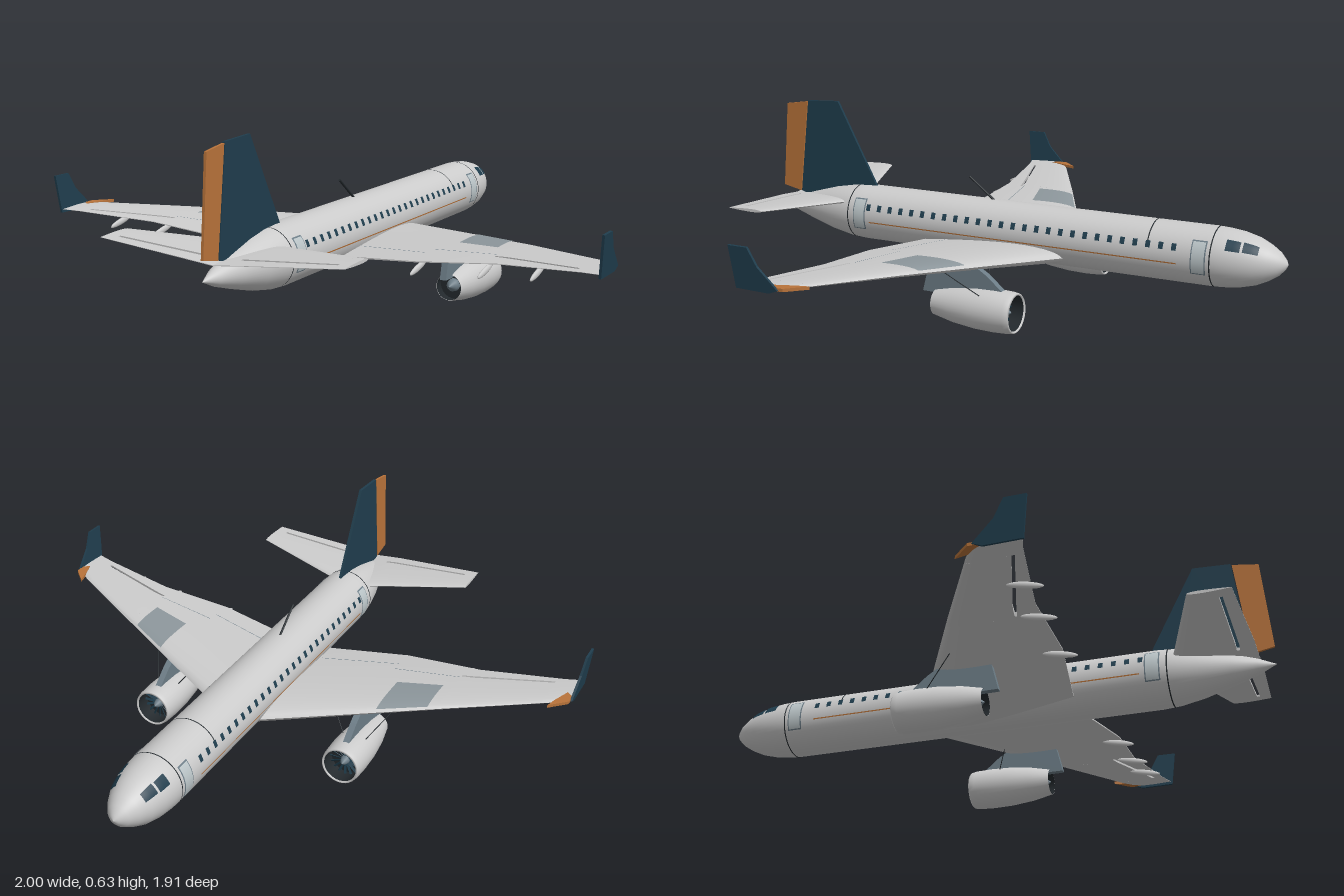
import * as THREE from 'three';
import { toCreasedNormals } from 'three/addons/utils/BufferGeometryUtils.js';

const paint = (color) => new THREE.MeshStandardMaterial({ color, side: THREE.DoubleSide });
const grey = paint(0xcccccc), navy = paint(0x1f3d4d), copper = paint(0xb8733a);
const slate = paint(0x6d7d87), panelGrey = paint(0x8d979c), dark = paint(0x23292d), door = paint(0xbcc6c9);

const AXIS_Y = 0.238;

function add(parent, name, geometry, material) {
  const mesh = new THREE.Mesh(geometry, material);
  mesh.name = name;
  parent.add(mesh);
  return mesh;
}

// Piecewise linear lookup in rows of [key, a, b, ...]
function sample(rows, k) {
  let i = 0;
  while (i < rows.length - 2 && k > rows[i + 1][0]) i++;
  const t = (k - rows[i][0]) / (rows[i + 1][0] - rows[i][0]);
  return rows[i].slice(1).map((v, n) => v + (rows[i + 1][n + 1] - v) * t);
}

// Lathe around the z axis from [z, radius] pairs
function turned(points, segments = 48, start = 0, length = Math.PI * 2) {
  return new THREE.LatheGeometry(points.map(([z, r]) => new THREE.Vector2(r, z)), segments, start, length)
    .rotateX(Math.PI / 2);
}

// Flat plate drawn in (z, y), centred on x = 0
function plate(points, thickness) {
  const shape = new THREE.Shape(points.map(([z, y]) => new THREE.Vector2(z, y)));
  return new THREE.ExtrudeGeometry(shape, { depth: thickness, bevelEnabled: false })
    .translate(0, 0, -thickness / 2).rotateY(-Math.PI / 2);
}

function rod(parent, name, a, b, radius, material) {
  const from = new THREE.Vector3(...a), to = new THREE.Vector3(...b), dir = to.clone().sub(from);
  const mesh = add(parent, name, new THREE.CylinderGeometry(radius, radius, dir.length(), 8), material);
  mesh.position.copy(from).lerp(to, 0.5);
  mesh.quaternion.setFromUnitVectors(new THREE.Vector3(0, 1, 0), dir.normalize());
}

// Fuselage radius along z
const hull = [[-0.957, 0.001], [-0.95, 0.016], [-0.93, 0.038], [-0.9, 0.058], [-0.86, 0.077], [-0.81, 0.09],
  [-0.76, 0.096], [-0.72, 0.098], [0.58, 0.098], [0.64, 0.094], [0.72, 0.079], [0.82, 0.051], [0.9, 0.026], [0.957, 0.001]];
const hullRadius = (z) => sample(hull, z)[0];

// Patch lying on the fuselage side between two z and two y values
function skin(z0, z1, y0, y1, offset) {
  const r = hullRadius((z0 + z1) / 2), angle = (y) => Math.PI / 2 + Math.asin((y - AXIS_Y) / r);
  const points = [];
  for (let i = 0; i <= 4; i++) {
    const z = z0 + (z1 - z0) * i / 4;
    points.push([z, hullRadius(z) + offset]);
  }
  return turned(points, 6, angle(y0), angle(y1) - angle(y0)).translate(0, AXIS_Y, 0);
}

// Lifting surfaces: [x, leading z, trailing z, height, thickness]
const wing = [[0, -0.26, 0.3, 0.178, 0.07], [0.1, -0.21, 0.31, 0.187, 0.062], [0.37, -0.07, 0.353, 0.212, 0.042],
  [0.64, 0.075, 0.347, 0.235, 0.026], [0.92, 0.23, 0.397, 0.254, 0.013], [0.985, 0.275, 0.415, 0.258, 0.008]];
const tailplane = [[0, 0.61, 0.905, 0.275, 0.024], [0.09, 0.645, 0.905, 0.284, 0.022], [0.42, 0.752, 0.888, 0.31, 0.01]];

function foilPoint(spec, x, f, side) {
  const [le, te, y, t] = sample(spec, x);
  const half = 5 * t * (0.2969 * Math.sqrt(f) - 0.126 * f - 0.3516 * f ** 2 + 0.2843 * f ** 3 - 0.095 * f ** 4);
  return [x, y + side * half, le + (te - le) * f];
}

// Loft of foil sections at the given x, keeping the chord between f0 and f1
function foil(spec, xs, f0, f1) {
  const N = 12, pos = [];
  const rings = xs.map((x, k) => {
    const a = f0[k] ?? f0[0], b = f1[k] ?? f1[0], ring = [];
    for (let i = 0; i <= N; i++) ring.push(foilPoint(spec, x, a + (b - a) * (i / N) ** 1.6, 1));
    for (let i = N; i >= 0; i--) ring.push(foilPoint(spec, x, a + (b - a) * (i / N) ** 1.6, -1));
    return ring;
  });
  const M = 2 * N + 2, last = rings.length - 1;
  for (let k = 0; k < last; k++) for (let i = 0; i < M; i++) {
    const j = (i + 1) % M, p = rings[k], q = rings[k + 1];
    pos.push(...p[i], ...p[j], ...q[i], ...p[j], ...q[j], ...q[i]);
  }
  for (let i = 0; i < N; i++) {
    const j = M - 1 - i, s = rings[0], e = rings[last];
    pos.push(...s[i], ...s[j], ...s[i + 1], ...s[i + 1], ...s[j], ...s[j - 1]);
    pos.push(...e[i], ...e[i + 1], ...e[j], ...e[i + 1], ...e[j - 1], ...e[j]);
  }
  const g = new THREE.BufferGeometry();
  g.setAttribute('position', new THREE.Float32BufferAttribute(pos, 3));
  return toCreasedNormals(g, 0.6);
}

// Thin patch on the upper surface of a foil
function foilPatch(spec, x0, x1, f0, f1) {
  const g = new THREE.PlaneGeometry(1, 1, 6, 10), p = g.attributes.position;
  for (let i = 0; i < p.count; i++) {
    const [x, y, z] = foilPoint(spec, x0 + (x1 - x0) * (p.getX(i) + 0.5), f0 + (f1 - f0) * (0.5 - p.getY(i)), 1);
    p.setXYZ(i, x, y + 0.002, z);
  }
  g.computeVertexNormals();
  return g;
}

function buildEngine(parent) {
  const engine = new THREE.Group();
  engine.name = 'engine';
  engine.position.set(0.365, 0.072, 0);
  parent.add(engine);
  add(engine, 'nacelle', turned([[-0.186, 0.058], [-0.192, 0.061], [-0.188, 0.065], [-0.17, 0.068], [-0.12, 0.07],
    [-0.05, 0.068], [0.03, 0.059], [0.1, 0.044]], 32), grey);
  add(engine, 'duct', turned([[0.1, 0.043], [0.03, 0.052], [-0.12, 0.06], [-0.186, 0.058]], 32), dark);
  add(engine, 'fanDisc', new THREE.CircleGeometry(0.058, 32).translate(0, 0, -0.13), dark);
  for (let i = 0; i < 16; i++) {
    const blade = new THREE.BoxGeometry(0.008, 0.042, 0.002).rotateY(0.6).translate(0, 0.036, -0.142);
    add(engine, 'fanBlade', blade.rotateZ(i * Math.PI / 8), navy);
  }
  add(engine, 'spinner', turned([[-0.172, 0.001], [-0.16, 0.011], [-0.135, 0.018]], 24), slate);
  add(engine, 'exhaustDisc', new THREE.CircleGeometry(0.047, 32).translate(0, 0, 0.06), dark);
  add(engine, 'exhaustCone', turned([[0.06, 0.022], [0.075, 0.019], [0.098, 0.001]], 24), slate);
}

// Everything that repeats on both sides, built for +x
function buildSide() {
  const side = new THREE.Group();
  // wing with a slot ahead of the aileron
  add(side, 'innerWing', foil(wing, [0, 0.1, 0.37, 0.6], [0], [1]), grey);
  add(side, 'outerWing', foil(wing, [0.6, 0.64, 0.9], [0], [0.74, 0.745, 0.79]), grey);
  add(side, 'aileron', foil(wing, [0.6, 0.64, 0.9], [0.765, 0.785, 0.845], [1]), grey);
  add(side, 'wingTip', foil(wing, [0.9, 0.92, 0.985], [0], [1]), grey);
  add(side, 'wingPanel', foilPatch(wing, 0.42, 0.57, 0.02, 0.46), panelGrey);
  add(side, 'flapLine', foilPatch(wing, 0.1, 0.37, 0.8, 0.805), slate);
  add(side, 'flapLine', foilPatch(wing, 0.37, 0.6, 0.7, 0.706), slate);
  // winglet and coloured leading corner
  const winglet = add(side, 'winglet', plate([[0.27, 0], [0.335, 0.065], [0.365, 0.122], [0.432, 0.122], [0.418, -0.01], [0.3, -0.012]], 0.008), navy);
  winglet.position.set(0.983, 0.256, 0);
  winglet.rotation.z = -0.09;
  const corner = new THREE.Shape([[0.925, 0.2], [0.98, 0.255], [0.982, 0.29], [0.96, 0.31], [0.935, 0.24]].map((p) => new THREE.Vector2(...p)));
  add(side, 'wingCorner', new THREE.ExtrudeGeometry(corner, { depth: 0.01, bevelEnabled: false }).rotateX(Math.PI / 2), copper)
    .position.y = 0.263;
  // flap track fairings
  for (const [x, y, z] of [[0.375, 0.193, 0.345], [0.6, 0.21, 0.345], [0.77, 0.225, 0.355]]) {
    const fairing = add(side, 'flapFairing', new THREE.SphereGeometry(1, 16, 10), grey);
    fairing.scale.set(0.007, 0.011, 0.058);
    fairing.position.set(x, y, z);
    fairing.rotation.x = 0.2;
  }
  // engine, pylon and braces
  buildEngine(side);
  add(side, 'pylon', plate([[-0.15, 0.135], [-0.09, 0.185], [-0.05, 0.21], [0.12, 0.205], [0.145, 0.106], [0.05, 0.105], [-0.1, 0.12]], 0.022), slate)
    .position.x = 0.365;
  rod(side, 'outerBrace', [0.405, 0.125, -0.08], [0.465, 0.21, 0.02], 0.0015, dark);
  rod(side, 'innerBrace', [0.325, 0.125, -0.08], [0.27, 0.195, -0.04], 0.0015, dark);
  // tailplane with a slot ahead of the elevator
  add(side, 'tailplaneRoot', foil(tailplane, [0, 0.06], [0], [1]), grey);
  add(side, 'tailplane', foil(tailplane, [0.06, 0.09, 0.38], [0], [0.77, 0.765, 0.69]), grey);
  add(side, 'elevator', foil(tailplane, [0.06, 0.09, 0.38], [0.81, 0.81, 0.76], [1]), grey);
  add(side, 'tailplaneTip', foil(tailplane, [0.38, 0.42], [0], [1]), grey);
  // cabin windows, doors, stripe and cockpit glass
  for (let i = 0; i < 27; i++) {
    const z = -0.61 + i * 0.044;
    add(side, 'cabinWindow', skin(z - 0.008, z + 0.008, 0.265, 0.286, 0.0015), navy);
  }
  for (const z of [-0.692, 0.572]) {
    add(side, 'doorFrame', skin(z - 0.025, z + 0.025, 0.196, 0.303, 0.001), slate);
    add(side, 'door', skin(z - 0.021, z + 0.021, 0.2, 0.299, 0.002), door);
  }
  add(side, 'stripe', skin(-0.62, 0.53, 0.222, 0.226, 0.0012), copper);
  add(side, 'cockpitWindow', skin(-0.82, -0.775, 0.281, 0.31, 0.0015), navy);
  add(side, 'cockpitWindow', skin(-0.875, -0.828, 0.277, 0.302, 0.0015), navy);
  return side;
}

export function createModel() {
  const model = new THREE.Group();
  model.name = 'airliner';
  add(model, 'fuselage', turned(hull).translate(0, AXIS_Y, 0), grey);
  // skin seams
  for (const z of [-0.73, -0.52, 0.62]) {
    const full = z !== -0.52, r = hullRadius(z) + 0.0012;
    add(model, 'seam', turned([[z - 0.002, r], [z + 0.002, r]], 48, full ? 0 : Math.PI * 0.6, Math.PI * (full ? 2 : 0.8))
      .translate(0, AXIS_Y, 0), dark);
  }
  // fin, rudder and aerial
  add(model, 'fin', plate([[0.54, 0.32], [0.553, 0.335], [0.71, 0.63], [0.838, 0.624], [0.88, 0.285], [0.8, 0.26], [0.65, 0.3]], 0.01), navy);
  add(model, 'rudder', plate([[0.842, 0.62], [0.93, 0.607], [0.957, 0.3], [0.884, 0.285]], 0.009), copper);
  rod(model, 'aerial', [0, 0.33, 0.075], [0, 0.408, 0.175], 0.004, dark);

  const left = buildSide(), right = buildSide();
  left.name = 'leftSide';
  right.name = 'rightSide';
  right.scale.x = -1;
  model.add(left, right);
  return model;
}
